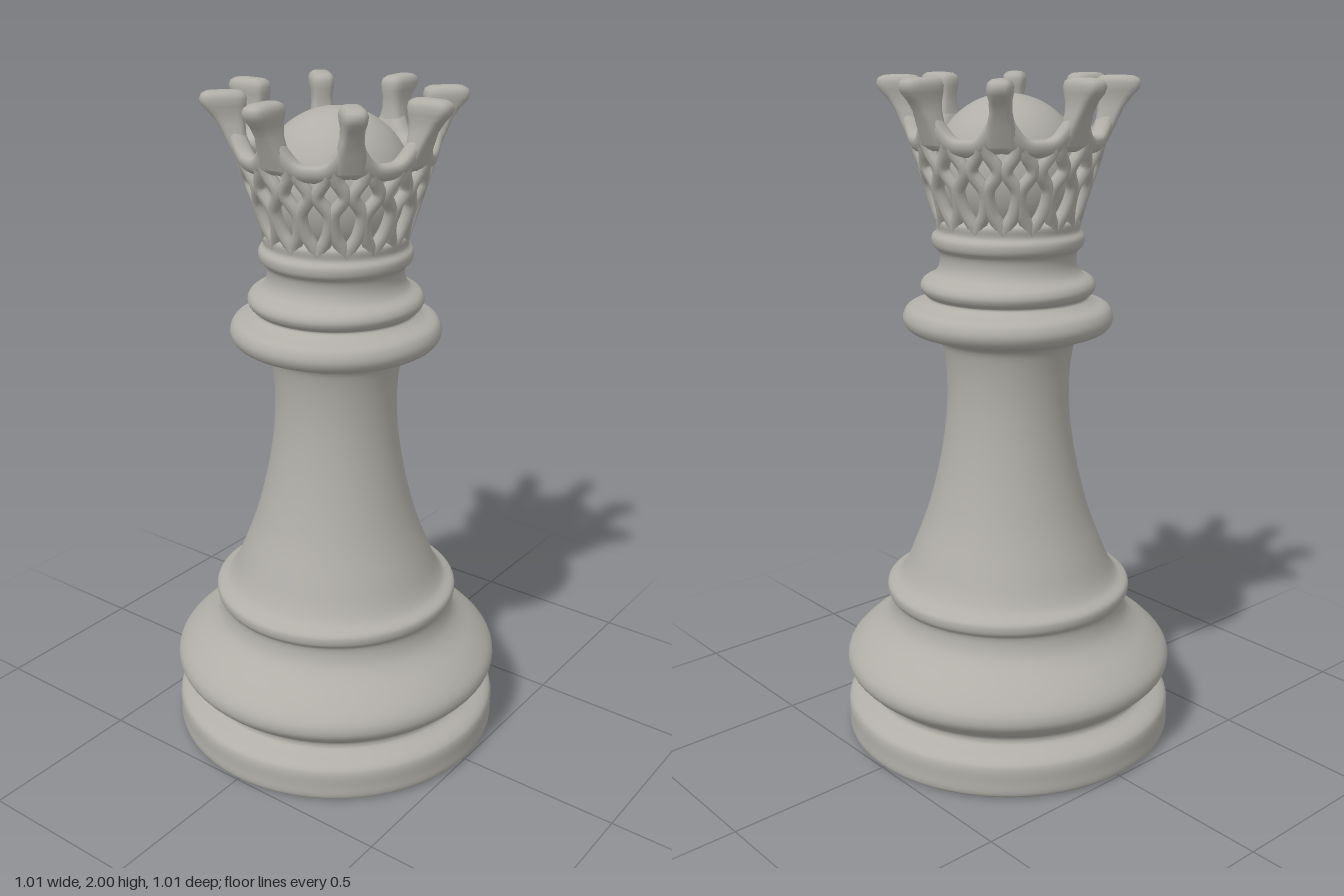
import * as THREE from 'three';

const stone = new THREE.MeshStandardMaterial({ color: 0xb0aea7 });
stone.name = 'warm grey stone';

function part(name, geometry) {
  const mesh = new THREE.Mesh(geometry, stone);
  mesh.name = name;
  return mesh;
}

// Smooth skin over a list of closed cross-sections, optionally joined end to end
function loft(sections, joined) {
  const m = sections.length, n = sections[0].length, index = [];
  for (let i = 0; i < (joined ? m : m - 1); i++) {
    for (let j = 0; j < n; j++) {
      const a = i * n + j, b = i * n + (j + 1) % n;
      const c = ((i + 1) % m) * n + j, d = ((i + 1) % m) * n + (j + 1) % n;
      index.push(a, c, b, b, c, d);
    }
  }
  const g = new THREE.BufferGeometry().setFromPoints(sections.flat());
  g.setIndex(index);
  g.computeVertexNormals();
  return g;
}

// Rounded-square oval, as [u, v] pairs in -1..1
function oval(count, power) {
  return Array.from({ length: count }, (_, j) => {
    const a = (j / count) * Math.PI * 2;
    const f = (v) => Math.sign(v) * Math.pow(Math.abs(v), power);
    return [f(Math.cos(a)), f(Math.sin(a))];
  });
}

// Outer radius of the flared crown at height y
const flare = (y) => 0.21 + 0.31 * (y - 1.58);

function turnedBody() {
  const profile = [
    [0.49, 0], [0.503, 0.012], [0.505, 0.05], [0.503, 0.1], [0.485, 0.118],
    [0.438, 0.14], [0.437, 0.16], [0.475, 0.19], [0.503, 0.225], [0.5, 0.26],
    [0.46, 0.305], [0.395, 0.355], [0.368, 0.39], [0.36, 0.435], [0.373, 0.455],
    [0.372, 0.482], [0.34, 0.5], [0.318, 0.53], [0.288, 0.6], [0.25, 0.7],
    [0.222, 0.8], [0.201, 0.9], [0.187, 1.0], [0.182, 1.1], [0.19, 1.2],
    [0.205, 1.245], [0.25, 1.263], [0.295, 1.28], [0.31, 1.31], [0.297, 1.342],
    [0.255, 1.358], [0.235, 1.373], [0.25, 1.387], [0.257, 1.405], [0.248, 1.424],
    [0.215, 1.442], [0.2, 1.47], [0.202, 1.505], [0.22, 1.525], [0.222, 1.55],
    [0.208, 1.568], [0.21, 1.595], [0.195, 1.607], [0.15, 1.61], [0, 1.61],
  ];
  const curve = new THREE.CatmullRomCurve3(profile.map(([r, y]) => new THREE.Vector3(r, y, 0)));
  const points = Array.from({ length: 177 }, (_, i) => {
    const p = curve.getPoint(i / 176);
    return new THREE.Vector2(Math.max(p.x, 0), p.y);
  });
  return new THREE.LatheGeometry(points, 64);
}

// Wavy strand of the openwork; side = 1 or -1 mirrors it
function strand(side) {
  const path = [[1.57, 0], [1.6, 3], [1.64, 8.5], [1.7, 10], [1.755, 2.5], [1.8, 8], [1.83, 10]];
  const curve = new THREE.CatmullRomCurve3(path.map(([y, deg]) => {
    const a = THREE.MathUtils.degToRad(deg * side), r = flare(y) - 0.02;
    return new THREE.Vector3(r * Math.cos(a), y, r * Math.sin(a));
  }));
  return new THREE.TubeGeometry(curve, 24, 0.019, 8);
}

// Band whose top edge sweeps up to each of the eight points
function scallopedRim() {
  const loop = oval(14, 0.85), sections = [];
  for (let i = 0; i < 160; i++) {
    const a = -(i / 160) * Math.PI * 2;
    const rise = Math.pow(Math.abs(Math.cos(4 * a)), 4);
    const bottom = 1.79 + 0.012 * rise, top = 1.84 + 0.085 * rise;
    sections.push(loop.map(([u, v]) => {
      const y = (bottom + top) / 2 + v * (top - bottom) / 2;
      const r = flare(y) - 0.028 + u * 0.028;
      return new THREE.Vector3(r * Math.cos(a), y, r * Math.sin(a));
    }));
  }
  return loft(sections, true);
}

// Flared prong with a blunt, rounded tip: height, centre, half depth, half width
function prong() {
  const loop = oval(20, 0.6);
  const rows = [
    [1.82, 0.26, 0.024, 0.045], [1.87, 0.277, 0.03, 0.04], [1.91, 0.288, 0.037, 0.031],
    [1.94, 0.298, 0.049, 0.03], [1.96, 0.306, 0.061, 0.034], [1.978, 0.309, 0.065, 0.036],
    [1.991, 0.308, 0.06, 0.032], [1.998, 0.307, 0.047, 0.023], [2.0, 0.306, 0.025, 0.012],
    [2.0, 0.306, 0, 0],
  ];
  return loft(rows.map(([y, c, d, w]) =>
    loop.map(([u, v]) => new THREE.Vector3(c + u * d, y, v * w))), false);
}

export function createModel() {
  const model = new THREE.Group();
  model.name = 'chessQueen';

  // Turned column, foot and collars
  model.add(part('turnedBody', turnedBody()));
  const underside = part('underside', new THREE.CircleGeometry(0.49, 64));
  underside.rotation.x = Math.PI / 2;
  model.add(underside);

  // Ball inside the crown
  const ball = part('crownBall', new THREE.SphereGeometry(0.215, 48, 32));
  ball.position.y = 1.735;
  model.add(ball);

  // Openwork crown
  const crown = new THREE.Group();
  crown.name = 'crown';
  for (const side of [1, -1]) {
    const geometry = strand(side);
    for (let k = 0; k < 16; k++) {
      const mesh = part('latticeStrand', geometry);
      mesh.rotation.y = (k * Math.PI) / 8;
      crown.add(mesh);
    }
  }
  crown.add(part('scallopedRim', scallopedRim()));
  const prongGeometry = prong();
  for (let k = 0; k < 8; k++) {
    const mesh = part('crownPoint', prongGeometry);
    mesh.rotation.y = (k * Math.PI) / 4;
    crown.add(mesh);
  }
  model.add(crown);
  return model;
}
